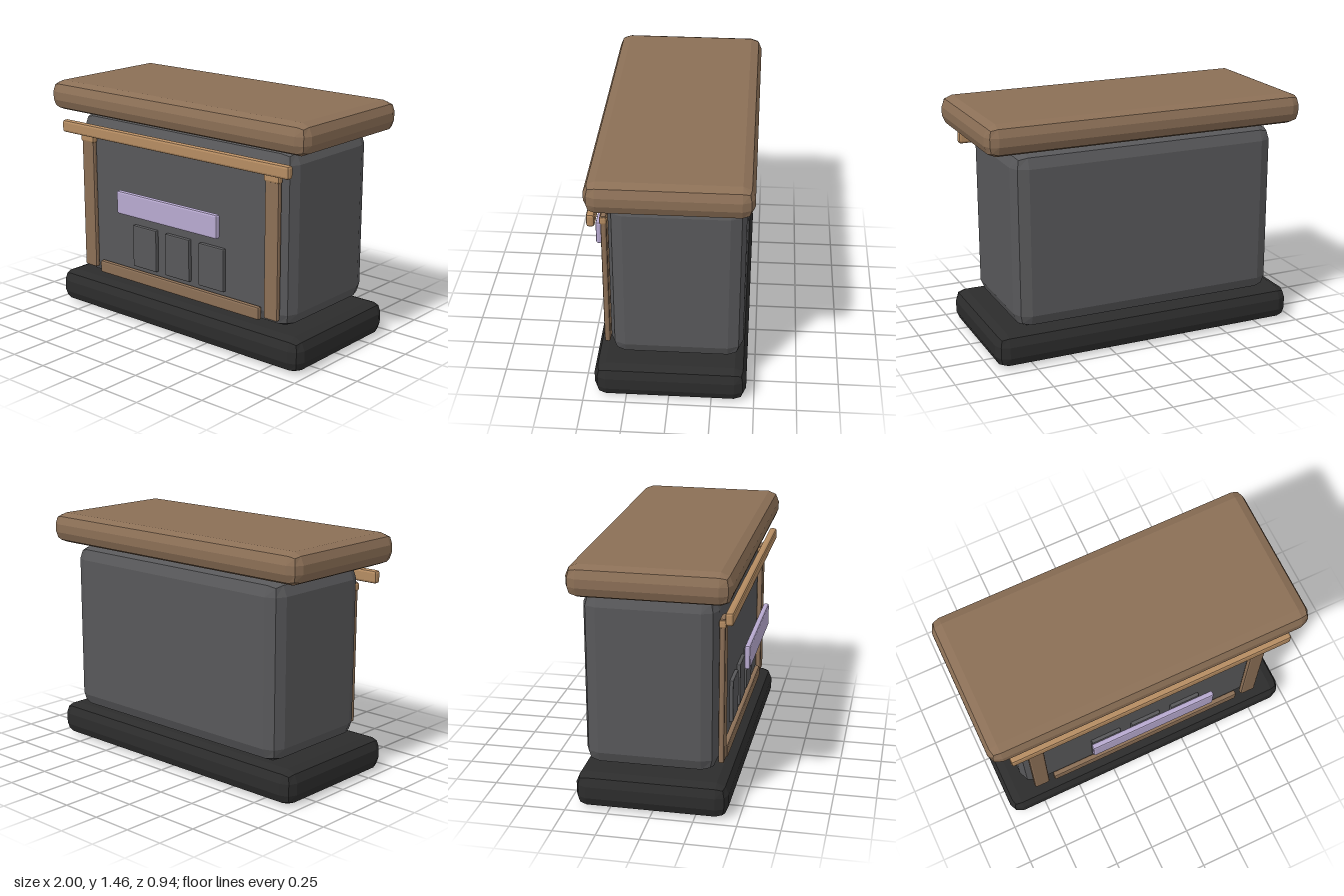
import * as THREE from 'three';
import { RoundedBoxGeometry } from 'three/addons/geometries/RoundedBoxGeometry.js';

function material(name, color) {
  const m = new THREE.MeshStandardMaterial({ color });
  m.name = name;
  return m;
}

export function createModel() {
  const group = new THREE.Group();
  const wood = material('brown wood', 0x8b6f56);
  const paleWood = material('light wood', 0xb58c62);
  const stone = material('grey stone', 0x58585a);
  const plinth = material('charcoal', 0x2c2c2c);
  const lilac = material('lilac', 0xb8aad0);

  // Faceted bevelled block given by its min and max on each axis
  function block(name, mat, [x0, x1], [y0, y1], [z0, z1], bevel) {
    const geo = new RoundedBoxGeometry(x1 - x0, y1 - y0, z1 - z0, 1, bevel);
    geo.computeVertexNormals();
    const mesh = new THREE.Mesh(geo, mat);
    mesh.name = name;
    mesh.position.set((x0 + x1) / 2, (y0 + y1) / 2, (z0 + z1) / 2);
    group.add(mesh);
  }

  // Main masses
  block('base', plinth, [-0.968, 0.968], [0, 0.21], [-0.453, 0.438], 0.07);
  block('body', stone, [-0.835, 0.835], [0.212, 1.272], [-0.426, 0.349], 0.088);
  block('topSlab', wood, [-1, 1], [1.274, 1.461], [-0.469, 0.453], 0.068);

  // Front trim
  block('beam', paleWood, [-0.893, 0.893], [1.143, 1.221], [0.403, 0.45], 0.015);
  block('bottomRail', wood, [-0.647, 0.647], [0.248, 0.328], [0.353, 0.388], 0.012);
  for (const side of [-1, 1]) {
    const x = side * 0.732;
    block('pillar', wood, [x - 0.05, x + 0.05], [0.272, 1.148], [0.353, 0.388], 0.012);
    block('capital', paleWood, [x - 0.055, x + 0.055], [1.09, 1.14], [0.351, 0.394], 0.012);
  }

  // Name plate and small panels
  block('plate', lilac, [-0.402, 0.402], [0.708, 0.855], [0.438, 0.473], 0.012);
  for (const x of [-0.27, 0, 0.27]) {
    block('panel', stone, [x - 0.098, x + 0.098], [0.348, 0.616], [0.34, 0.372], 0.008);
  }
  return group;
}
